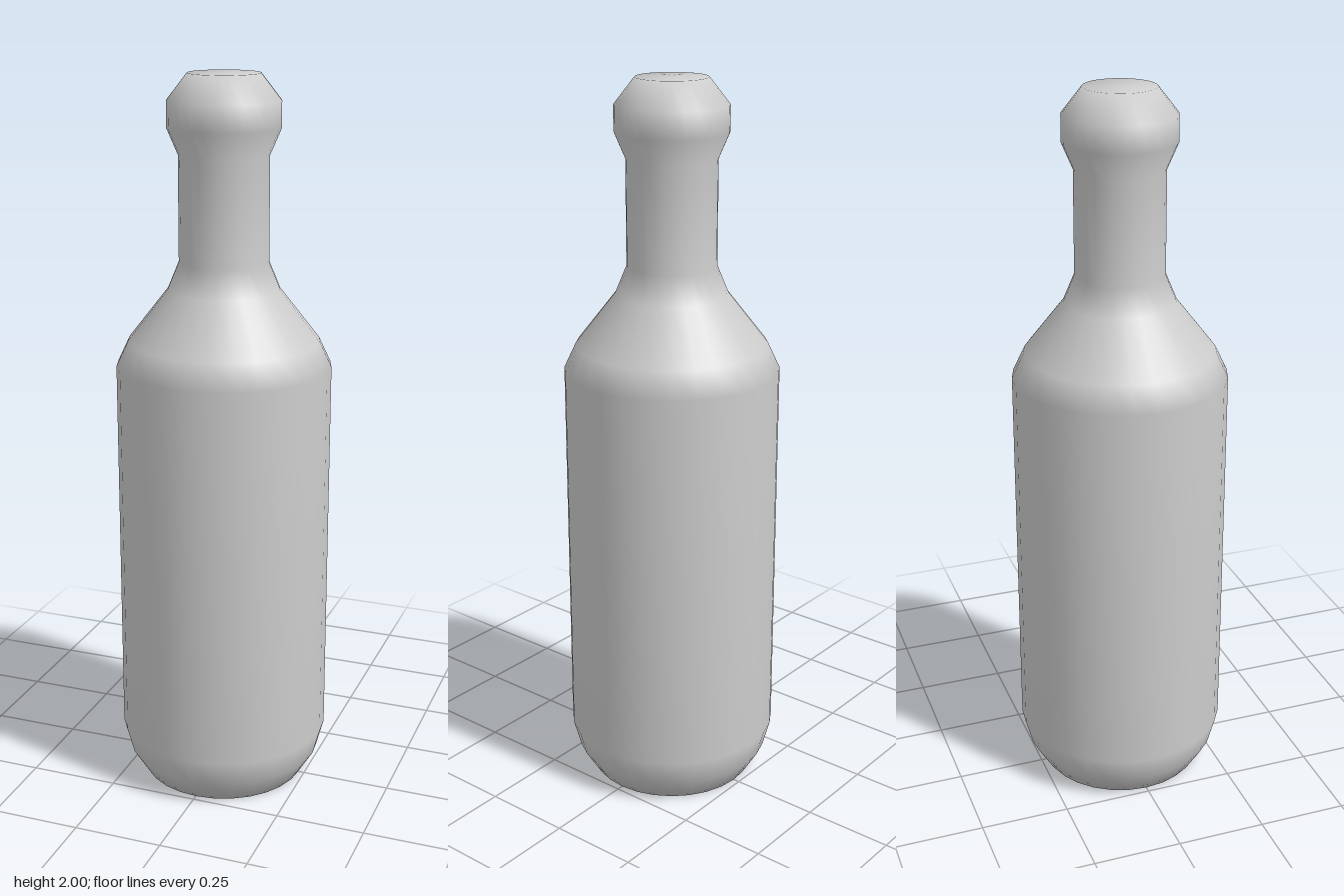
import * as THREE from 'three';

export function createModel() {
  const model = new THREE.Group();
  model.name = 'bottle';

  const grey = new THREE.MeshStandardMaterial({ color: 0xcccccc });
  grey.name = 'light grey';

  // Closed profile from base centre to top centre: [radius, height]
  const profile = [
    [0, 0], [0.232, 0], [0.275, 0.07], [0.295, 0.145],    // rounded base
    [0.295, 1.22], [0.262, 1.29],                         // body and shoulder
    [0.153, 1.43], [0.122, 1.505], [0.122, 1.79],         // neck
    [0.152, 1.86], [0.152, 1.93], [0.097, 2], [0, 2],     // lip and closed top
  ].map(([r, y]) => new THREE.Vector2(r, y));

  const body = new THREE.Mesh(new THREE.LatheGeometry(profile, 28), grey);
  body.name = 'bottleBody';
  model.add(body);

  return model;
}
